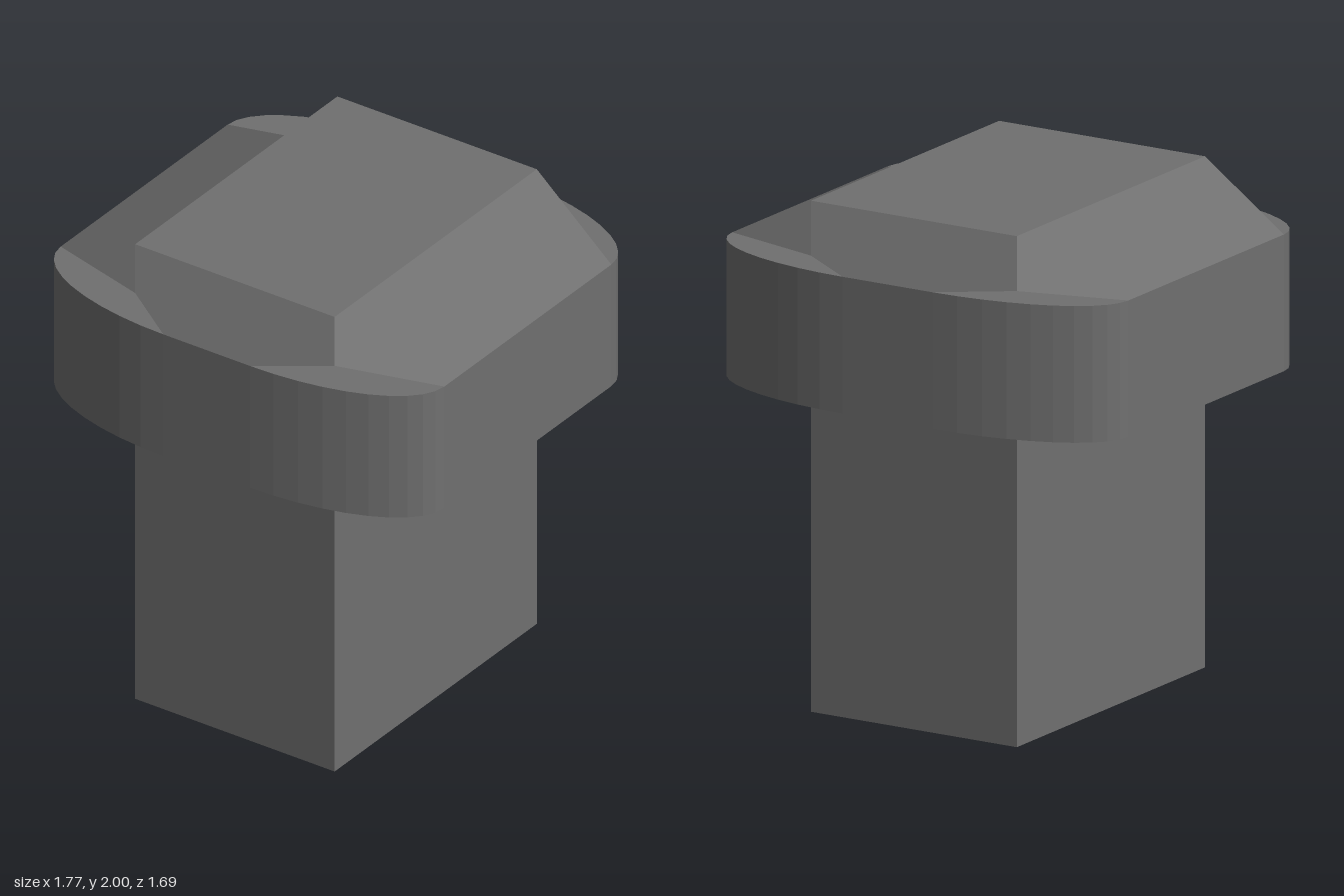
import * as THREE from 'three';

const W = 0.46, D = 0.66;          // shaft half width and depth
const FX = 0.885, FZ = 0.845;      // collar half width and depth
const SX = 0.2, SZ = 0.545;        // half lengths of the collar's straight edges
const LOW = 1.25, MID = 1.785, TOP = 2;

const material = new THREE.MeshStandardMaterial({ color: 0x707070, side: THREE.DoubleSide });

function add(group, name, geometry) {
  const mesh = new THREE.Mesh(geometry, material);
  mesh.name = name;
  group.add(mesh);
  return mesh;
}

// Six-cornered slope facing +z, shaded as one face: from the top edge (half length a,
// at distance r) to the collar rim (half length b, at distance s), fanned from one top corner
function slopeGeometry(a, r, b, s) {
  const corners = [
    [a, TOP, r], [-a, TOP, r], [-a, MID, r],
    [-b, MID, s], [b, MID, s], [a, MID, r],
  ];
  const normal = new THREE.Vector3(0, (a + b) * (s - r), 2 * a * (TOP - MID)).normalize();
  const geometry = new THREE.BufferGeometry();
  geometry.setAttribute('position', new THREE.Float32BufferAttribute(corners.flat(), 3));
  geometry.setAttribute('normal', new THREE.Float32BufferAttribute(
    corners.flatMap(() => normal.toArray()), 3));
  geometry.setIndex([0, 1, 2, 0, 2, 3, 0, 3, 4, 0, 4, 5]);
  return geometry;
}

export function createModel() {
  const group = new THREE.Group();

  // Hollow shaft: four walls, open at the bottom
  const shaft = new THREE.BoxGeometry(W * 2, MID, D * 2);
  const faces = Array.from(shaft.index.array);
  faces.splice(12, 12);
  shaft.setIndex(faces);
  shaft.clearGroups();
  shaft.translate(0, MID / 2, 0);
  add(group, 'shaft', shaft);

  // Flat top
  const cap = new THREE.PlaneGeometry(W * 2, D * 2);
  cap.rotateX(-Math.PI / 2);
  cap.translate(0, TOP, 0);
  add(group, 'cap', cap);

  // Collar: straight sides joined by elliptical corners, around the shaft
  const rim = new THREE.Shape();
  const outline = [];
  [[1, 1], [-1, 1], [-1, -1], [1, -1]].forEach(([sx, sz], quarter) => {
    for (let i = 0; i <= 10; i++) {
      const t = (quarter + i / 10) * Math.PI / 2;
      outline.push(new THREE.Vector2(
        sx * SX + (FX - SX) * Math.cos(t),
        sz * SZ + (FZ - SZ) * Math.sin(t),
      ));
    }
  });
  rim.setFromPoints(outline);
  rim.holes.push(new THREE.Path().setFromPoints(
    [[-W, -D], [-W, D], [W, D], [W, -D]].map(([x, z]) => new THREE.Vector2(x, z)),
  ));
  const collar = new THREE.ExtrudeGeometry(rim, { depth: MID - LOW, bevelEnabled: false });
  collar.rotateX(-Math.PI / 2);
  collar.translate(0, LOW, 0);
  add(group, 'collar', collar);

  // Four slopes from the top down to the collar rim
  const endSlope = slopeGeometry(W, D, SX, FZ);
  const sideSlope = slopeGeometry(D, W, SZ, FX);
  ['frontSlope', 'leftSlope', 'backSlope', 'rightSlope'].forEach((name, i) => {
    add(group, name, i % 2 ? sideSlope : endSlope).rotation.y = i * Math.PI / 2;
  });

  return group;
}
